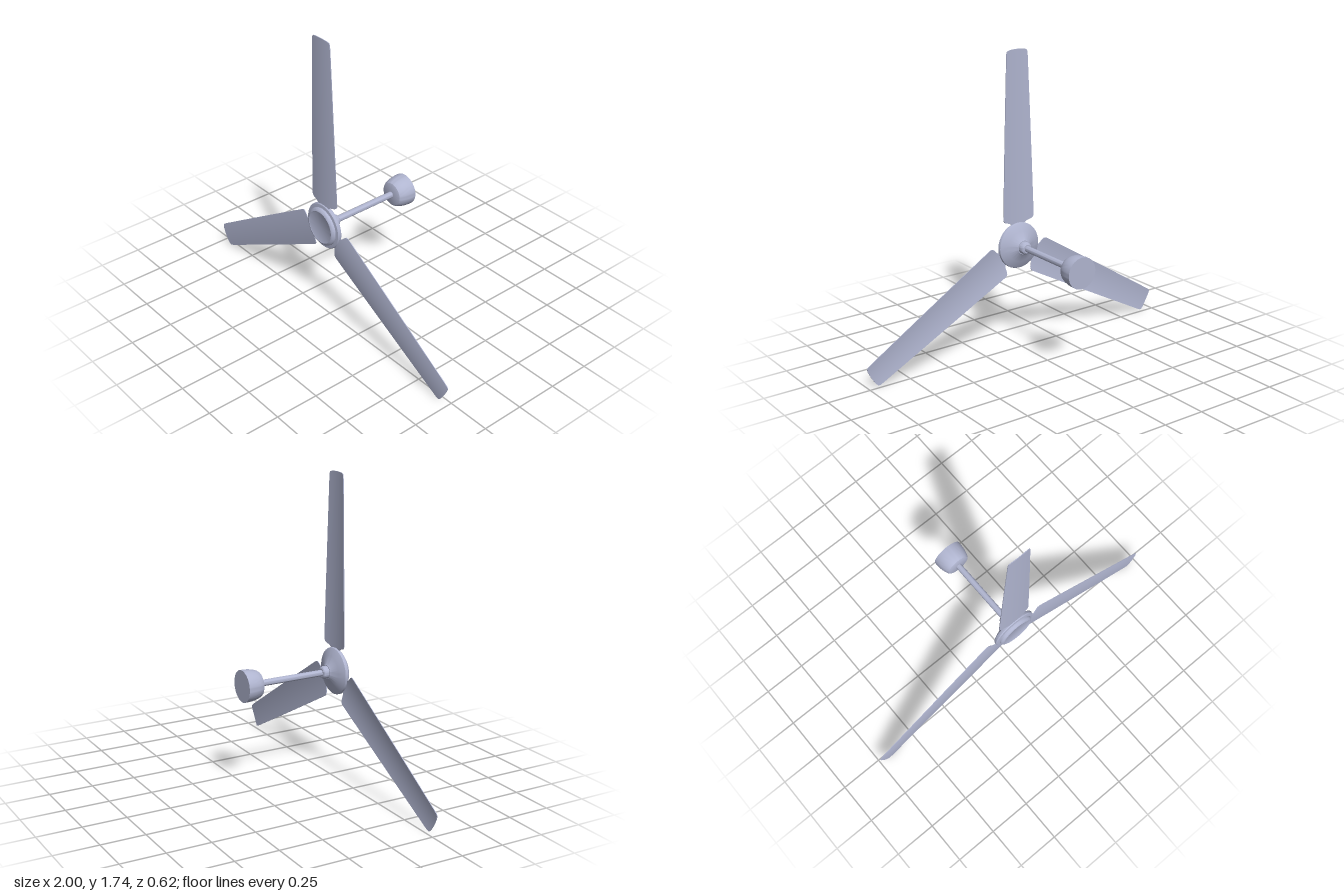
import * as THREE from 'three';
import { toCreasedNormals } from 'three/addons/utils/BufferGeometryUtils.js';

const HUB_Y = 0.617;
const BLADE_Z = 0.27;

// Solid of revolution around the z axis; points are [radius, z] from back to front
function turned(name, points, material, segments = 64) {
  let geometry = new THREE.LatheGeometry(points.map(([r, z]) => new THREE.Vector2(r, z)), segments);
  geometry.rotateX(Math.PI / 2);
  geometry = toCreasedNormals(geometry, 0.5);
  const mesh = new THREE.Mesh(geometry, material);
  mesh.name = name;
  return mesh;
}

// Thin cambered blade along +y, lofted from [radius, half width] stations
function bladeGeometry() {
  const stations = [
    [0.09, 0.045], [0.128, 0.045], [0.138, 0.06], [0.145, 0.085], [0.151, 0.097],
    [0.165, 0.104], [0.5, 0.093], [0.8, 0.082], [1.08, 0.071], [1.105, 0.069],
    [1.116, 0.064], [1.121, 0.045], [1.123, 0.01],
  ];
  const columns = 10, thickness = 0.004, camber = 0.009;
  const positions = [], indices = [];
  const ring = 2 * (columns + 1);
  for (const [r, w] of stations) {
    for (let k = 0; k < ring; k++) {
      const front = k <= columns;
      const u = front ? 1 - 2 * k / columns : -1 + 2 * (k - columns - 1) / columns;
      const x = u * w;
      const z = BLADE_Z + camber * (1 - (x / 0.104) ** 2) + (front ? thickness : 0);
      positions.push(x, r, z);
    }
  }
  for (let s = 0; s < stations.length - 1; s++) {
    for (let k = 0; k < ring; k++) {
      const a = s * ring + k, b = s * ring + (k + 1) % ring;
      indices.push(a, a + ring, b, b, a + ring, b + ring);
    }
  }
  // Close the tip
  const last = (stations.length - 1) * ring;
  for (let k = 1; k < ring - 1; k++) indices.push(last, last + k + 1, last + k);
  const geometry = new THREE.BufferGeometry();
  geometry.setAttribute('position', new THREE.Float32BufferAttribute(positions, 3));
  geometry.setIndex(indices);
  return toCreasedNormals(geometry, 0.6);
}

export function createModel() {
  const paint = new THREE.MeshStandardMaterial({ color: 0xb0b5d0 });
  paint.name = 'pale blue grey';
  const fan = new THREE.Group();
  fan.name = 'ceilingFan';
  const body = new THREE.Group();
  body.name = 'fanBody';
  body.position.y = HUB_Y;
  fan.add(body);

  // Motor housing: flared back, wide rim and stepped front cap
  body.add(turned('motorHousing', [
    [0, 0.222], [0.04, 0.222], [0.05, 0.23], [0.09, 0.247], [0.12, 0.26], [0.132, 0.267],
    [0.134, 0.272], [0.134, 0.283], [0.13, 0.288], [0.112, 0.29], [0.11, 0.3],
    [0.105, 0.306], [0.095, 0.31], [0.088, 0.307], [0, 0.307],
  ], paint));

  // Rod collar, rod and ceiling canopy
  body.add(turned('rodCollar', [
    [0, 0.188], [0.025, 0.188], [0.032, 0.193], [0.036, 0.202], [0.036, 0.222], [0.045, 0.232], [0, 0.232],
  ], paint, 40));
  body.add(turned('downRod', [[0, -0.22], [0.018, -0.22], [0.018, 0.2], [0, 0.2]], paint, 32));
  body.add(turned('ceilingCanopy', [
    [0, -0.31], [0.09, -0.31], [0.09, -0.29], [0.088, -0.265], [0.083, -0.24],
    [0.076, -0.22], [0.069, -0.21], [0.056, -0.205], [0, -0.205],
  ], paint));

  // Three blades
  const geometry = bladeGeometry();
  for (let i = 0; i < 3; i++) {
    const blade = new THREE.Mesh(geometry, paint);
    blade.name = `blade${i + 1}`;
    blade.rotation.z = i * 2 * Math.PI / 3;
    body.add(blade);
  }
  return fan;
}
